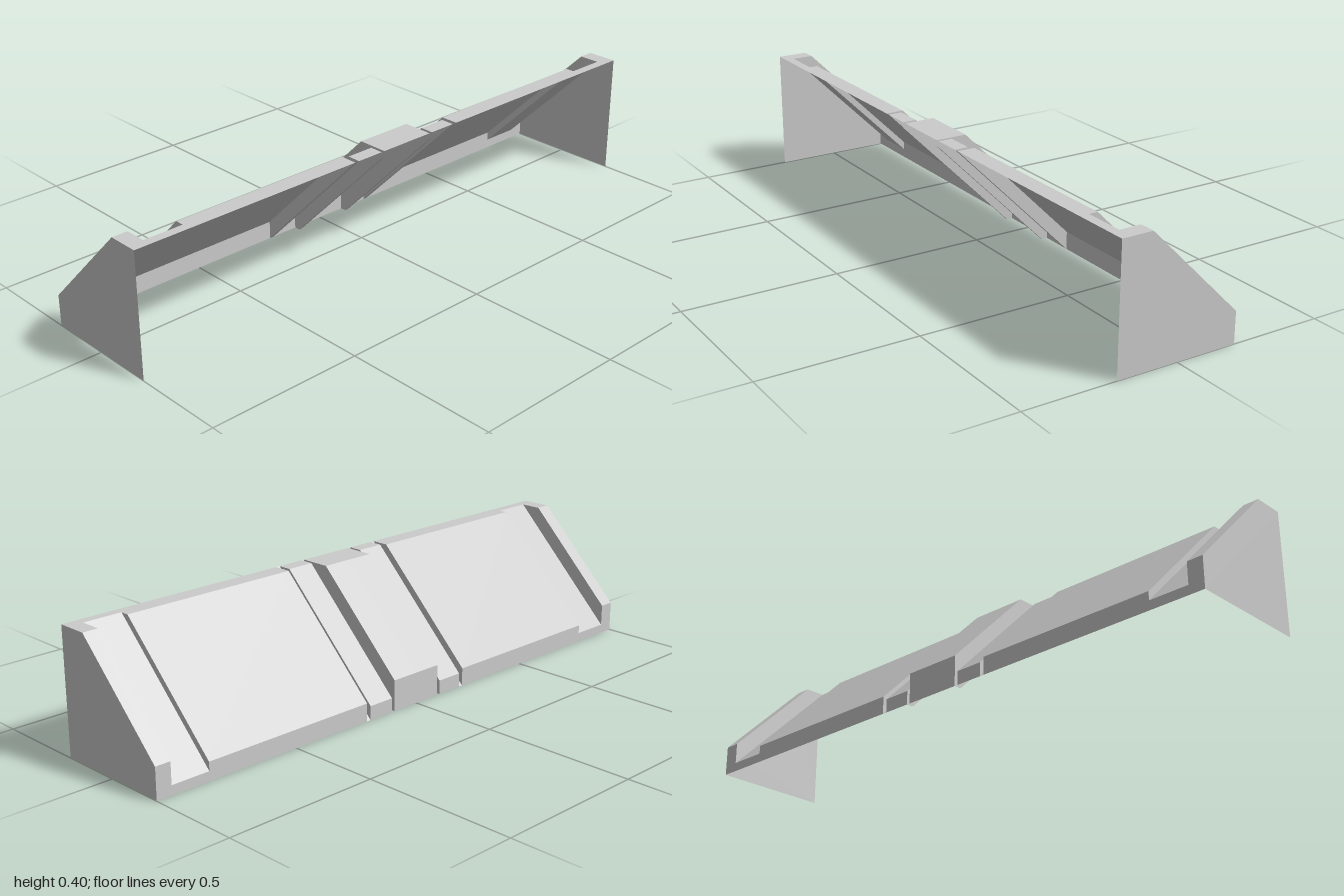
import * as THREE from 'three';

const material = new THREE.MeshStandardMaterial({
  color: 0xcccccc, flatShading: true, side: THREE.DoubleSide,
});

// Cross-section as [z, y] points: front lip, lip edge, foot of the 45 degree slope, base.
const raised = (offset) => [[0.2, 0.4], [0.4 - offset, 0.4], [-0.2, offset - 0.2], [-0.2, 0]];
const sunken = (offset) => [[0.2, 0.2 + offset], [0.2, 0.2 + offset], [-offset, 0], [-offset, 0]];

// Sections from the middle to one end: name, inner x, outer x, profile.
const sections = [
  ['centreRib', 0, 0.096, raised(0.3)],
  ['deepGroove', 0.096, 0.107, sunken(0.18)],
  ['innerBand', 0.107, 0.199, raised(0.245)],
  ['shallowGroove', 0.199, 0.214, raised(0.2)],
  ['widePanel', 0.214, 0.82, raised(0.258)],
  ['outerBand', 0.82, 0.949, raised(0.23)],
  ['endRib', 0.949, 1, raised(0.3)],
];

// Open strip between two cross-sections
function strip(name, profileA, xA, profileB, xB) {
  const positions = [];
  const triangle = (a, b, c) => {
    const t = new THREE.Triangle(a, b, c);
    if (t.getArea() > 1e-8) for (const p of [a, b, c]) positions.push(p.x, p.y, p.z);
  };
  const point = (profile, x, i) => new THREE.Vector3(x, profile[i][1], profile[i][0]);
  for (let i = 0; i < profileA.length - 1; i++) {
    const a = point(profileA, xA, i), b = point(profileB, xB, i);
    const c = point(profileB, xB, i + 1), d = point(profileA, xA, i + 1);
    triangle(a, b, c);
    triangle(a, c, d);
  }
  const geometry = new THREE.BufferGeometry();
  geometry.setAttribute('position', new THREE.Float32BufferAttribute(positions, 3));
  geometry.computeVertexNormals();
  const mesh = new THREE.Mesh(geometry, material);
  mesh.name = name;
  return mesh;
}

// Flat end wall, closed down to the front corner
function endWall(side) {
  const outline = [...raised(0.3), [0.2, 0]];
  const shape = new THREE.Shape(outline.map(([z, y]) => new THREE.Vector2(-side * z, y)));
  const mesh = new THREE.Mesh(new THREE.ShapeGeometry(shape), material);
  mesh.rotation.y = side * Math.PI / 2;
  mesh.position.x = side;
  mesh.name = 'endWall';
  return mesh;
}

export function createModel() {
  const model = new THREE.Group();
  model.name = 'slopedShell';
  for (const side of [-1, 1]) {
    const half = new THREE.Group();
    half.name = side > 0 ? 'leftHalf' : 'rightHalf';
    // Keep x increasing so that the faces point outwards on both sides
    const add = (name, pA, xA, pB, xB) => half.add(side > 0
      ? strip(name, pA, xA, pB, xB)
      : strip(name, pB, -xB, pA, -xA));
    sections.forEach(([name, inner, outer, profile], i) => {
      add(name, profile, inner, profile, outer);
      // Step wall to the next section
      const next = sections[i + 1];
      if (next) add(name + 'Step', profile, outer, next[3], outer);
    });
    half.add(endWall(side));
    model.add(half);
  }
  return model;
}
